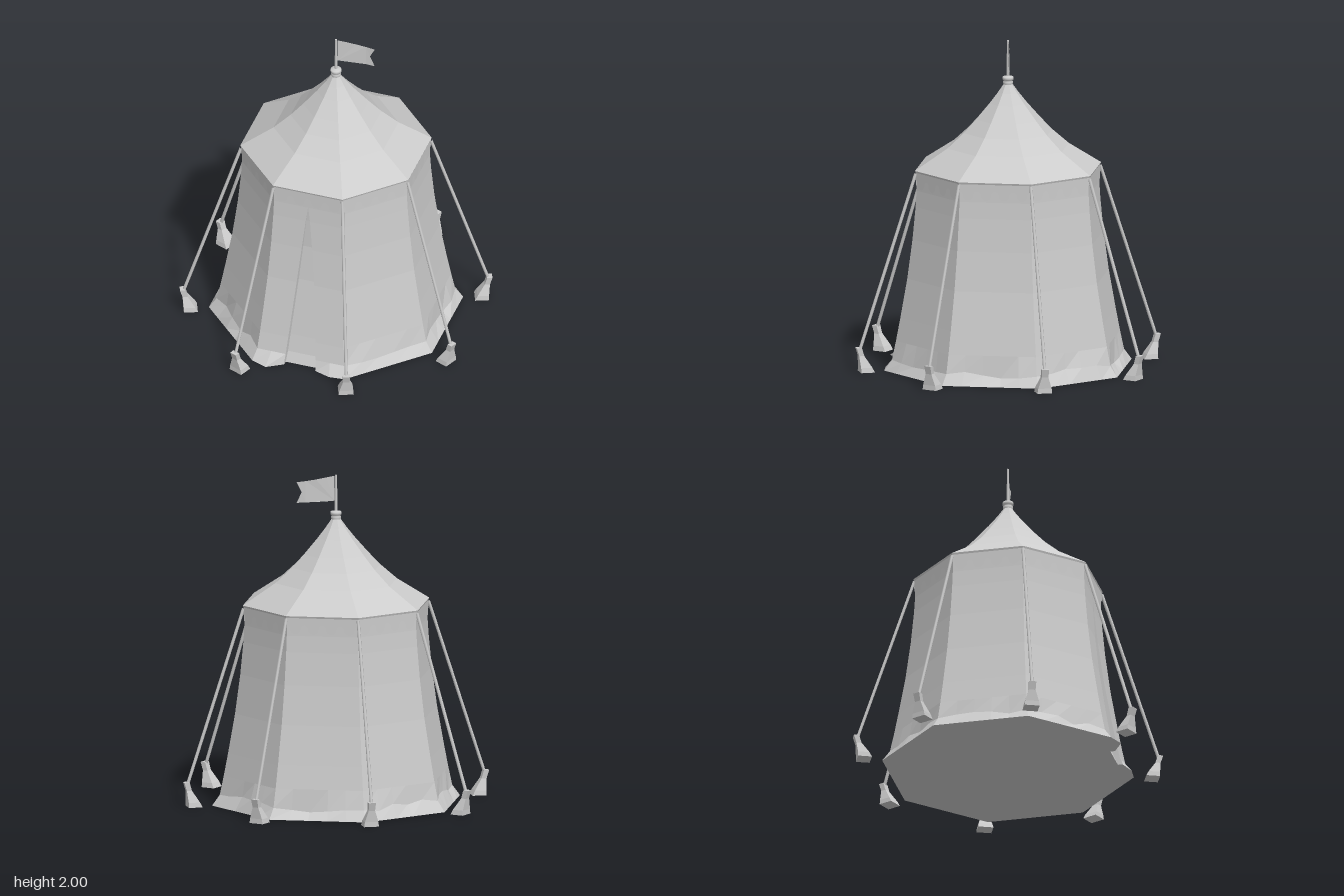
import * as THREE from 'three';

const COS = Math.cos(Math.PI / 8), TAN = Math.tan(Math.PI / 8);
const flat = new THREE.MeshStandardMaterial({ color: 0xcccccc, flatShading: true });
const smooth = new THREE.MeshStandardMaterial({ color: 0xcccccc });
const cloth = new THREE.MeshStandardMaterial({ color: 0xcccccc, side: THREE.DoubleSide, flatShading: true });

function add(parent, name, geometry, material) {
  const mesh = new THREE.Mesh(geometry, material);
  mesh.name = name;
  parent.add(mesh);
  return mesh;
}

// Joins closed rings of points (ordered counter-clockwise from below to above) into a skin
function loft(rings, capBottom, capTop) {
  const n = rings[0].length, pos = rings.flat(2), index = [];
  for (let j = 0; j < rings.length - 1; j++) {
    for (let i = 0; i < n; i++) {
      const a = j * n + i, b = j * n + (i + 1) % n;
      index.push(a, b, b + n, a, b + n, a + n);
    }
  }
  const cap = (ring, start, up) => {
    const c = pos.length / 3;
    pos.push(...[0, 1, 2].map(k => ring.reduce((s, p) => s + p[k], 0) / n));
    for (let i = 0; i < n; i++) {
      const a = start + i, b = start + (i + 1) % n;
      if (up) index.push(c, a, b); else index.push(c, b, a);
    }
  };
  if (capBottom) cap(rings[0], 0, false);
  if (capTop) cap(rings[rings.length - 1], (rings.length - 1) * n, true);
  const g = new THREE.BufferGeometry();
  g.setAttribute('position', new THREE.Float32BufferAttribute(pos, 3));
  g.setIndex(index);
  const out = g.toNonIndexed();
  out.computeVertexNormals();
  return out;
}

function wallGeometry() {
  let seed = 7;
  const noise = () => (seed = (seed * 16807) % 2147483647) / 2147483647 - 0.5;
  // height and distance from the axis to the middle of a side
  const profile = [[0, 0.712], [0.065, 0.668], [0.18, 0.645], [0.32, 0.62], [0.56, 0.58],
    [0.8, 0.55], [1.0, 0.532], [1.1, 0.526], [1.21, 0.524]];
  const rings = profile.map(([y, d], row) => {
    const ring = [];
    const put = (k, x, z, h = y) => {
      const a = k * Math.PI / 4, c = Math.cos(a), s = Math.sin(a);
      ring.push([x * c + z * s, h, z * c - x * s]);
    };
    const w = d * TAN;
    // front side with a recessed, tapering doorway
    const open = Math.max(0, 1 - y / 1.1), h = 0.1 * Math.pow(open, 0.85) + 0.0005;
    const recess = 0.035 * Math.min(1, open * 3);
    const edge = row === 0 ? 0.69 : d;
    put(0, -w, d);
    put(0, -(w + h) / 2, row === 0 ? 0.75 : d);
    put(0, -h, edge);
    put(0, -h * 0.97, row === 0 ? 0.66 : d - recess);
    put(0, h * 0.97, row === 0 ? 0.66 : d - recess);
    put(0, h, edge);
    put(0, (w + h) / 2, row === 0 ? 0.722 : d);
    // seven plain sides, rumpled where the cloth meets the ground
    for (let k = 1; k < 8; k++) {
      for (let i = 0; i < 5; i++) {
        const r = row === 1 && i > 0 ? 1 : 0;
        put(k, -w + 2 * w * i / 5, d + r * noise() * 0.025, y + r * noise() * 0.045);
      }
    }
    return ring;
  });
  return loft(rings, true, false);
}

// Strip of hanging tabs along one side of the eave
function valanceGeometry() {
  const d = 0.532, w = d * TAN, tabs = 4, step = 2 * w / tabs, r = step * 0.31, gap = step / 2 - r;
  const y = 1.145, s = new THREE.Shape();
  s.moveTo(-w, 1.215);
  s.lineTo(-w, y + gap);
  for (let i = 0; i < tabs; i++) {
    const x = -w + step * (i + 0.5);
    s.absarc(x - step / 2, y, gap, Math.PI / 2, 0, true);
    s.absarc(x, y, r, Math.PI, Math.PI * 2, false);
    s.absarc(x + step / 2, y, gap, Math.PI, Math.PI / 2, true);
  }
  s.lineTo(w, 1.215);
  return new THREE.ShapeGeometry(s, 6).translate(0, 0, d);
}

// Splayed ground stake: [height, inner distance, outer distance, half width]
function stakeGeometry() {
  const rows = [[0, 0.84, 0.925, 0.046], [0.03, 0.855, 0.925, 0.042],
    [0.1, 0.9, 0.932, 0.02], [0.15, 0.915, 0.947, 0.022]];
  return loft(rows.map(([y, a, b, w]) => [[-w, y, b], [w, y, b], [w, y, a], [-w, y, a]]), true, true);
}

// Swallow-tailed flag with a gentle curve
function flagGeometry() {
  const s = new THREE.Shape();
  [[0.008, 1.995], [0.06, 1.985], [0.12, 1.973], [0.18, 1.963], [0.235, 1.955], [0.205, 1.895],
    [0.235, 1.828], [0.18, 1.832], [0.12, 1.835], [0.06, 1.838], [0.008, 1.842]]
    .forEach(([x, y], i) => i ? s.lineTo(x, y) : s.moveTo(x, y));
  const g = new THREE.ShapeGeometry(s), p = g.attributes.position;
  for (let i = 0; i < p.count; i++) p.setZ(i, -0.036 * Math.sin(Math.min(1, p.getX(i) / 0.235) * 1.6));
  g.computeVertexNormals();
  return g;
}

export function createModel() {
  const tent = new THREE.Group();
  tent.name = 'pavilionTent';

  add(tent, 'walls', wallGeometry(), cloth);

  // Concave eight-sided roof with a short lip at the eave
  const roof = [[0.53, 1.205], [0.536, 1.222], [0.35, 1.35], [0.255, 1.44], [0.185, 1.52],
    [0.108, 1.615], [0.06, 1.68], [0.027, 1.73]]
    .map(([d, y]) => new THREE.Vector2(d / COS, y));
  add(tent, 'roof', new THREE.LatheGeometry(roof, 8, Math.PI / 8), cloth);

  // Collar and pole
  const collar = [[0.024, 1.7], [0.027, 1.73], [0.03, 1.735], [0.03, 1.748], [0.024, 1.752],
    [0.032, 1.757], [0.035, 1.767], [0.032, 1.777], [0.008, 1.782]]
    .map(([r, y]) => new THREE.Vector2(r, y));
  add(tent, 'collar', new THREE.LatheGeometry(collar, 16), smooth);
  add(tent, 'flagPole', new THREE.CylinderGeometry(0.007, 0.009, 0.25, 8).translate(0, 1.875, 0), smooth);
  add(tent, 'flag', flagGeometry(), cloth);

  // Valance, guy ropes and stakes repeat around the eight sides
  const valance = valanceGeometry(), stake = stakeGeometry();
  const rope = new THREE.TubeGeometry(new THREE.LineCurve3(
    new THREE.Vector3(0, 1.205, 0.575), new THREE.Vector3(0, 0.13, 0.925)), 1, 0.01, 6);
  for (let k = 0; k < 8; k++) {
    add(tent, 'valance', valance, cloth).rotation.y = k * Math.PI / 4;
    const guy = new THREE.Group();
    guy.name = 'guyLine';
    guy.rotation.y = (k + 0.5) * Math.PI / 4;
    add(guy, 'rope', rope, smooth);
    add(guy, 'stake', stake, flat);
    tent.add(guy);
  }
  return tent;
}
